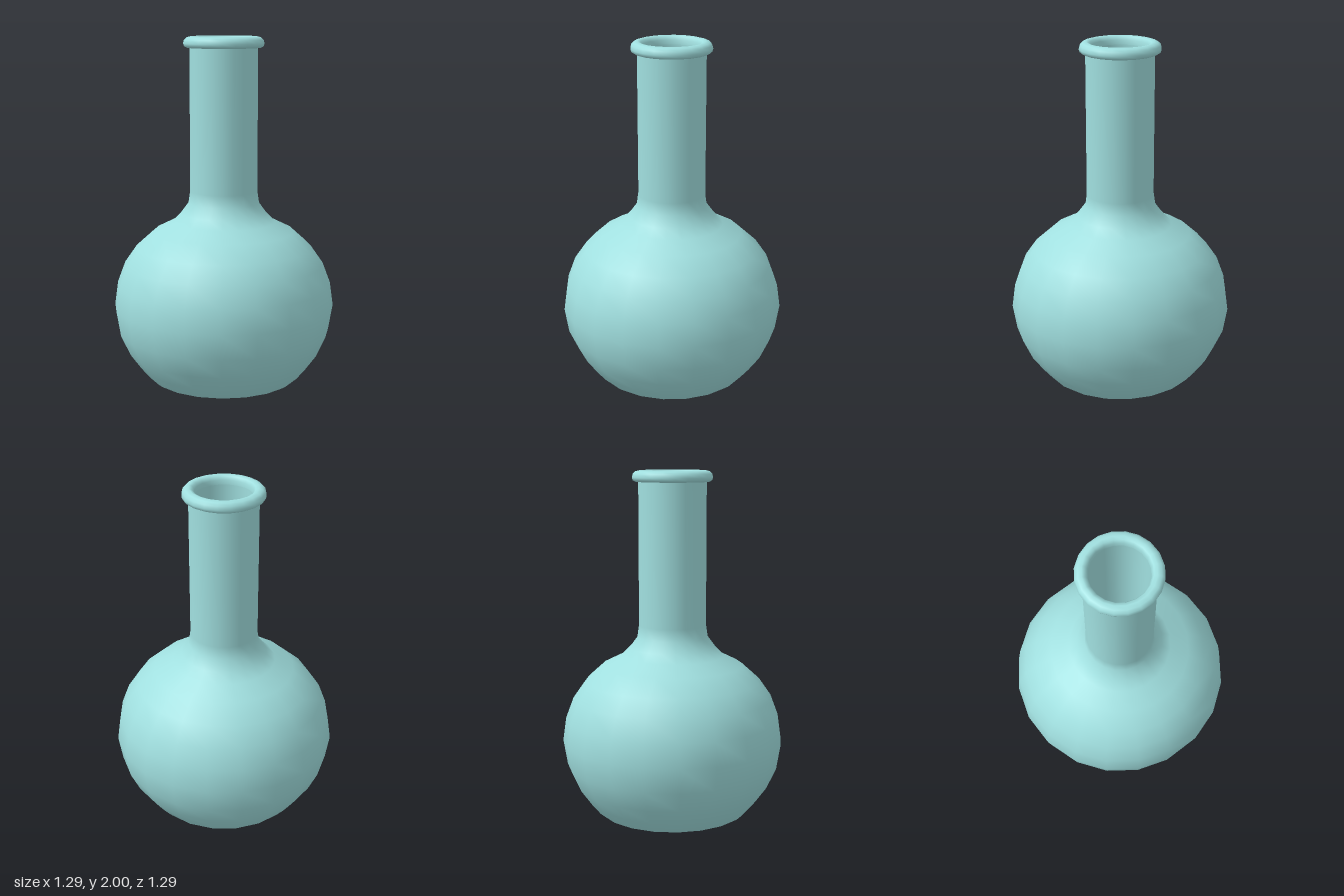
import * as THREE from 'three';

const SIDES = 20;

// Revolves [radius, height] pairs; rising profiles face outward.
function lathe(name, profile, material) {
  const points = profile.map(([r, y]) => new THREE.Vector2(r, y));
  const mesh = new THREE.Mesh(new THREE.LatheGeometry(points, SIDES), material);
  mesh.name = name;
  return mesh;
}

export function createModel() {
  const group = new THREE.Group();
  group.name = 'flask';
  const glass = new THREE.MeshStandardMaterial({ color: 0xa0dfdf });
  const grey = new THREE.MeshStandardMaterial({ color: 0xcccccc });

  // Round bulb flowing through the shoulder into the straight neck
  const outer = [
    [0.43, 0.005], [0.45, 0.02], [0.5, 0.08], [0.565, 0.17], [0.62, 0.29],
    [0.644, 0.435], [0.625, 0.57], [0.58, 0.69], [0.51, 0.79], [0.41, 0.88],
    [0.3, 0.935], [0.25, 0.985], [0.205, 1.046], [0.195, 1.115], [0.195, 1.94],
  ];
  group.add(lathe('bulbAndNeck', outer, glass));

  // Flat base with a small rounded edge
  group.add(lathe('base', [[0, 0], [0.41, 0], [0.43, 0.005]], glass));

  // Rolled lip around the mouth
  const lip = [
    [0.19, 1.936], [0.212, 1.936], [0.226, 1.944], [0.231, 1.96], [0.226, 1.98],
    [0.212, 1.994], [0.19, 2], [0.172, 1.993], [0.162, 1.975], [0.16, 1.95],
  ];
  group.add(lathe('lip', lip, glass));

  // Inner wall, running down from the mouth into the bulb
  const inner = [
    [0.16, 1.95], [0.158, 1.115], [0.17, 1.04], [0.27, 0.9], [0.38, 0.845],
    [0.48, 0.76], [0.545, 0.67], [0.59, 0.56], [0.605, 0.435], [0.58, 0.3],
    [0.53, 0.19], [0.42, 0.04], [0, 0.04],
  ];
  group.add(lathe('innerWall', inner, glass));

  // Contents of the bulb with a softly domed surface
  const contents = [
    [0, 0.05], [0.4, 0.05], [0.51, 0.19], [0.56, 0.3], [0.585, 0.435],
    [0.55, 0.54], [0.4, 0.66], [0.2, 0.74], [0, 0.77],
  ];
  group.add(lathe('contents', contents, grey));

  return group;
}
